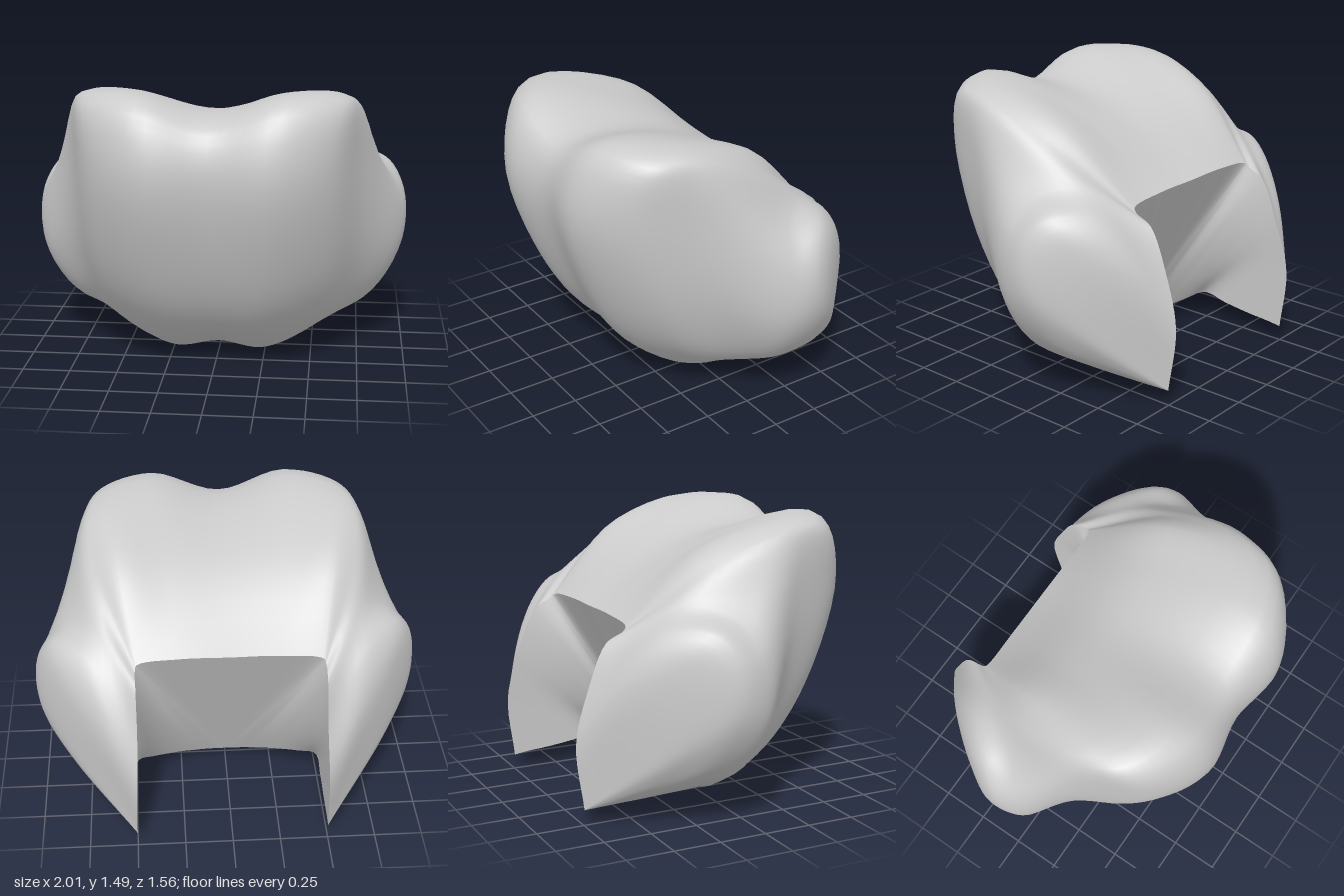
import * as THREE from 'three';

// Half-body profiles: each runs from the underside of the rear channel,
// forward and up the front, over the crest and down to the rear edge.
const bodyProfiles = [
  [[0, .07, -.06], [0, .03, .03], [0, .23, .38], [0, .6, .61], [0, 1.13, .74], [0, 1.35, .64], [0, 1.31, 0], [0, 1, -.49]],
  [[.2, .07, -.07], [.22, 0, .04], [.28, .24, .4], [.31, .6, .63], [.33, 1.15, .78], [.36, 1.47, .63], [.32, 1.34, -.03], [.25, 1, -.49]],
  [[.4, .12, -.17], [.4, .06, .01], [.52, .25, .25], [.58, .6, .47], [.6, 1.15, .62], [.64, 1.45, .5], [.56, 1.36, -.08], [.47, .98, -.5]],
  [[.49, .15, -.24], [.53, .14, -.13], [.67, .23, .02], [.75, .6, .21], [.76, 1.08, .3], [.74, 1.39, .27], [.67, 1.27, -.12], [.48, .96, -.52]],
];

// The two lobes that sweep back on either side of the channel.
const wingProfiles = [
  [[.5, .12, -.38], [.6, .14, -.3], [.81, .27, -.13], [.95, .55, -.07], [.95, .87, -.1], [.84, 1.04, -.15], [.7, 1.1, -.32], [.48, .91, -.61]],
  [[.5, .1, -.54], [.62, .14, -.46], [.85, .31, -.3], [.99, .58, -.25], [.99, .84, -.25], [.9, .99, -.33], [.71, .97, -.5], [.48, .68, -.71]],
  [[.5, .09, -.67], [.58, .12, -.6], [.75, .26, -.49], [.87, .45, -.44], [.88, .65, -.45], [.8, .77, -.53], [.66, .7, -.65], [.49, .42, -.78]],
  [[.5, .08, -.745]],
];

const ROWS = 40, COLUMNS = 84;

// Sample one profile; a single point stays collapsed into the wing tip.
function sampleProfile(profile, place) {
  const points = profile.map(place);
  if (points.length === 1) return Array.from({ length: ROWS + 1 }, () => points[0]);
  const curve = new THREE.CatmullRomCurve3(points, false, 'centripetal');
  return Array.from({ length: ROWS + 1 }, (_, i) => curve.getPoint(i / ROWS));
}

// The right wing bulges a little further forward than the left one.
const left = ([x, y, z]) => new THREE.Vector3(x, y, z);
const right = ([x, y, z]) => new THREE.Vector3(-x, y, z);
const rightWing = ([x, y, z]) => new THREE.Vector3(-x, y, z + 0.24 * Math.max(0, x - 0.5));

// Skin a grid of points given as rows.
function skin(rows, reversed) {
  const positions = [], index = [], n = rows[0].length;
  rows.forEach(row => row.forEach(p => positions.push(p.x, p.y, p.z)));
  for (let j = 0; j < rows.length - 1; j++) {
    for (let i = 0; i < n - 1; i++) {
      const a = j * n + i, b = a + 1, c = a + n, d = c + 1;
      if (reversed) index.push(a, d, b, a, c, d);
      else index.push(a, b, d, a, d, c);
    }
  }
  const geometry = new THREE.BufferGeometry();
  geometry.setAttribute('position', new THREE.Float32BufferAttribute(positions, 3));
  geometry.setIndex(index);
  geometry.computeVertexNormals();
  return geometry;
}

export function createModel() {
  const group = new THREE.Group();
  group.name = 'cushionBody';
  const material = new THREE.MeshStandardMaterial({ color: 0xcccccc, side: THREE.DoubleSide });

  // Mirror the half profiles into a full set from right wing tip to left.
  const columns = [
    ...wingProfiles.map(p => sampleProfile(p, rightWing)).reverse(),
    ...bodyProfiles.slice(1).map(p => sampleProfile(p, right)).reverse(),
    ...[...bodyProfiles, ...wingProfiles].map(p => sampleProfile(p, left)),
  ];

  // Smooth across the profiles, row by row.
  const curves = Array.from({ length: ROWS + 1 }, (_, j) =>
    new THREE.CatmullRomCurve3(columns.map(c => c[j]), false, 'centripetal'));
  const rows = curves.map(curve =>
    Array.from({ length: COLUMNS + 1 }, (_, i) => curve.getPoint(i / COLUMNS)));
  const shell = new THREE.Mesh(skin(rows, false), material);
  shell.name = 'outerShell';

  // Channel: the roof narrows towards the bottom centre, and the inner wing
  // faces fan out from there to the rear edges.
  const rear = rows[ROWS];
  const lower = rear.map((_, i) => {
    const u = 2 * i / COLUMNS - 1;
    return curves[0].getPoint(0.5 + 0.5 * Math.sign(u) * Math.abs(u) ** 3);
  });
  const wall = Array.from({ length: 9 }, (_, j) =>
    lower.map((p, i) => p.clone().lerp(rear[i], j / 8)));
  const channel = new THREE.Mesh(skin(wall, true), material);
  channel.name = 'rearChannel';

  group.add(shell, channel);
  return group;
}
